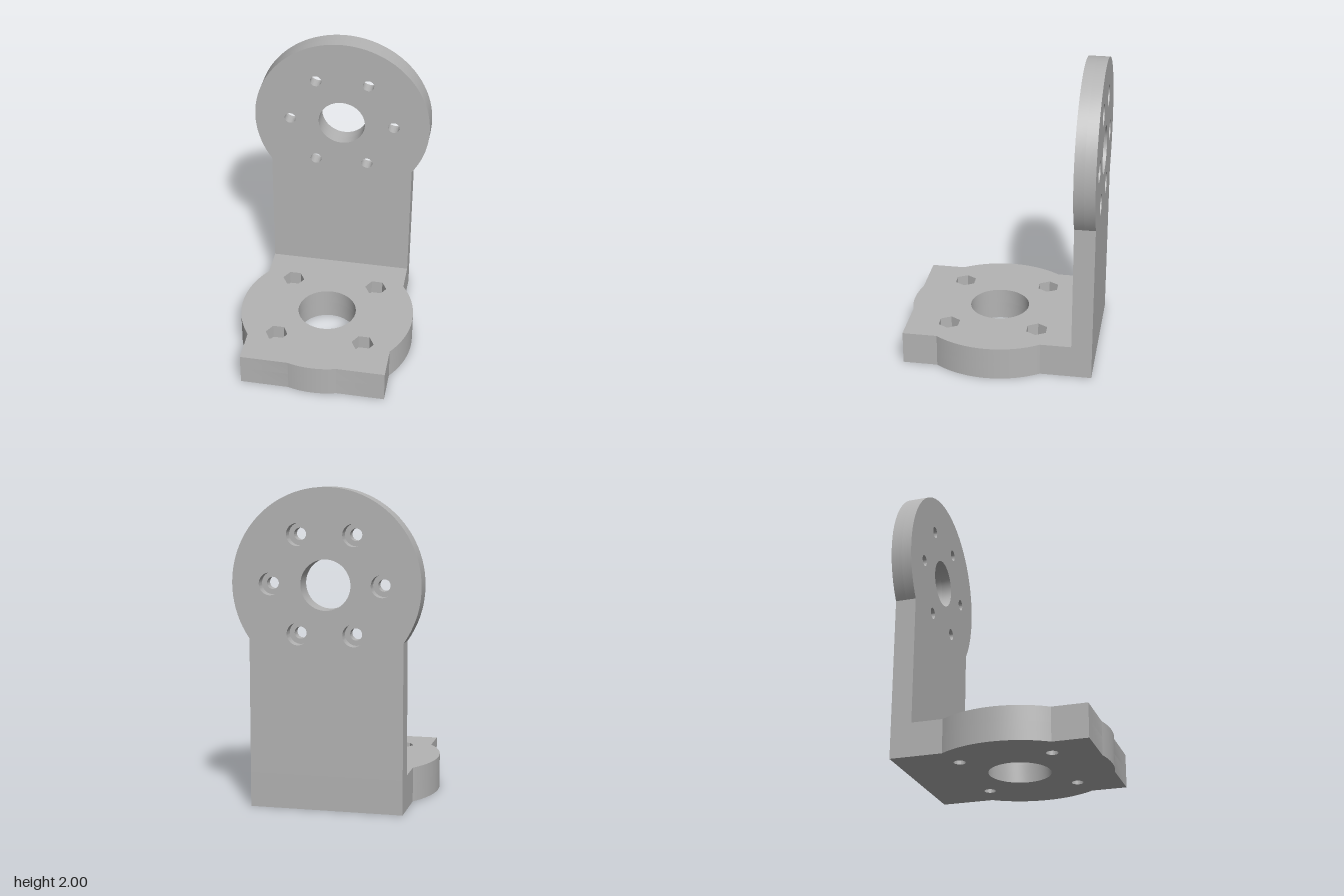
import * as THREE from 'three';
import { toCreasedNormals } from 'three/addons/utils/BufferGeometryUtils.js';

const R = 0.593;   // radius of both rounded flanges
const W = 0.485;   // half width of the plates
const BACK = -0.64, FRONT = 0.61;
const BASE_Z = 0.04, BASE_H = 0.22;
const WALL_T = 0.135, WALL_Y = 1.407;
const JOIN = Math.acos(W / R);   // angle where a flange meets the plate side

function roundHole(x, y, r) {
  return new THREE.Path().absarc(x, y, r, 0, Math.PI * 2, true);
}

function hexHole(x, y, r) {
  const points = [];
  for (let i = 0; i < 6; i++) {
    const a = -i * Math.PI / 3;
    points.push(new THREE.Vector2(x + r * Math.cos(a), y + r * Math.sin(a)));
  }
  points.push(points[0].clone());
  return new THREE.Path(points);
}

// Base outline in plan; shape y is -z
function baseShape() {
  const bump = Math.acos((FRONT - BASE_Z) / R);
  const s = new THREE.Shape();
  s.moveTo(W, -BACK);
  s.lineTo(-W, -BACK);
  s.absarc(0, -BASE_Z, R, Math.PI - JOIN, Math.PI + JOIN, false);
  s.lineTo(-W, -FRONT);
  s.absarc(0, -BASE_Z, R, -Math.PI / 2 - bump, -Math.PI / 2 + bump, false);
  s.lineTo(W, -FRONT);
  s.absarc(0, -BASE_Z, R, -JOIN, JOIN, false);
  s.closePath();
  return s;
}

// Upright plate ending in a round head
function wallShape() {
  const s = new THREE.Shape();
  s.moveTo(-W, BASE_H);
  s.lineTo(W, BASE_H);
  s.absarc(0, WALL_Y, R, -JOIN, Math.PI + JOIN, false);
  s.closePath();
  return s;
}

function extrude(shape, holes, depth) {
  shape.holes.push(...holes);
  const g = new THREE.ExtrudeGeometry(shape, { depth, bevelEnabled: false, curveSegments: 32 });
  return toCreasedNormals(g, 0.4);
}

export function createModel() {
  const group = new THREE.Group();
  const grey = new THREE.MeshStandardMaterial({ color: 0xb4b4b4 });
  grey.name = 'plain grey';

  const add = (name, geometry) => {
    const mesh = new THREE.Mesh(geometry, grey);
    mesh.name = name;
    group.add(mesh);
    return mesh;
  };

  // Base plate: round bolt holes below, hexagonal nut pockets above
  const bolts = [];
  for (const x of [-0.295, 0.295]) for (const z of [-0.254, 0.334]) bolts.push([x, -z]);
  const baseLayer = (name, y, height, makeHole, r) => {
    const holes = [roundHole(0, -BASE_Z, 0.198), ...bolts.map(([x, v]) => makeHole(x, v, r))];
    add(name, extrude(baseShape(), holes, height).rotateX(-Math.PI / 2)).position.y = y;
  };
  const pocket = 0.1;
  baseLayer('baseLower', 0, BASE_H - pocket, roundHole, 0.038);
  baseLayer('baseWithNutPockets', BASE_H - pocket, pocket, hexHole, 0.075);

  // Upright plate: ring of six holes, counterbored from the back
  const wallLayer = (name, z, depth, r) => {
    const holes = [roundHole(0, WALL_Y, 0.157)];
    for (let i = 0; i < 6; i++) {
      const a = i * Math.PI / 3;
      holes.push(roundHole(0.352 * Math.cos(a), WALL_Y + 0.352 * Math.sin(a), r));
    }
    add(name, extrude(wallShape(), holes, depth)).position.z = z;
  };
  const bore = 0.07;
  wallLayer('uprightWithCounterbores', BACK, bore, 0.07);
  wallLayer('uprightFront', BACK + bore, WALL_T - bore, 0.038);

  return group;
}
